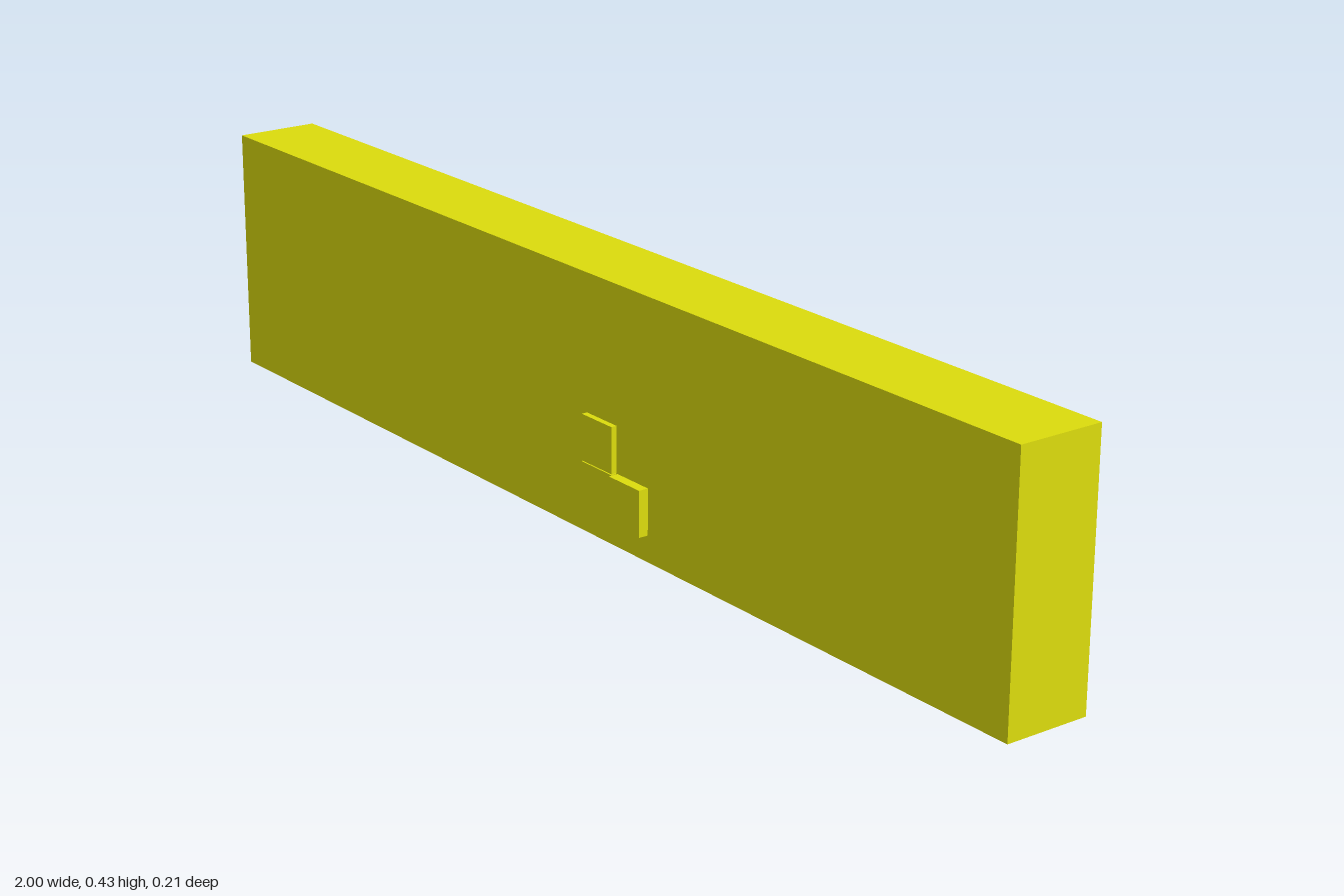
import * as THREE from 'three';

const material = new THREE.MeshStandardMaterial({ color: 0xdddd0d });
const FLOOR = 0.042, SHORT = 0.077, LONG = 0.192;

function add(parent, geometry, name, x = 0, y = 0, z = 0) {
  const mesh = new THREE.Mesh(geometry, material);
  mesh.name = name;
  mesh.position.set(x, y, z);
  parent.add(mesh);
  return mesh;
}

// Axis-aligned block given by its smallest corner and size
function block(parent, name, x, y, z, w, h, d) {
  return add(parent, new THREE.BoxGeometry(w, h, d), name, x + w / 2, y + h / 2, z + d / 2);
}

// Block resting on one lower edge at x, tilted up towards +x
function leaningBlock(parent, name, x, z, degrees) {
  const geometry = new THREE.BoxGeometry(LONG, SHORT, SHORT);
  geometry.translate(LONG / 2, SHORT / 2, SHORT / 2);
  add(parent, geometry, name, x, FLOOR, z).rotation.z = THREE.MathUtils.degToRad(degrees);
}

// Hollow mug with a handle pointing along (dx, dz)
function mug(parent, x, z, dx, dz, bulge) {
  const group = new THREE.Group();
  group.name = 'mug';
  const h = 0.075, r = 0.033, t = 0.004, outer = [], inner = [];
  for (let i = 0; i <= 8; i++) {
    const s = i / 8, radius = r + bulge * (Math.sin(Math.PI * s) - 0.4);
    outer.push(new THREE.Vector2(radius, s * h));
    inner.unshift(new THREE.Vector2(radius - t, Math.max(s * h, t)));
  }
  const parts = [
    ['mugBase', [new THREE.Vector2(0, 0), outer[0]]],
    ['mugWall', outer],
    ['mugRim', [outer[8], inner[0]]],
    ['mugInside', inner],
    ['mugInnerBase', [inner[8], new THREE.Vector2(0, t)]],
  ];
  for (const [name, points] of parts) add(group, new THREE.LatheGeometry(points, 32), name);

  const curve = new THREE.CatmullRomCurve3([
    [0.031, 0.060], [0.048, 0.061], [0.059, 0.050], [0.059, 0.030], [0.048, 0.017], [0.031, 0.018],
  ].map(([a, b]) => new THREE.Vector3(a, b, 0)));
  add(group, new THREE.TubeGeometry(curve, 24, 0.004, 8), 'mugHandle');

  group.position.set(x, FLOOR, z);
  group.rotation.y = Math.atan2(-dz, dx);
  parent.add(group);
}

export function createModel() {
  const model = new THREE.Group();
  model.name = 'shelfNiche';

  // Frame, open to the rear, closed by a front panel
  const outline = new THREE.Shape();
  outline.moveTo(-1, 0).lineTo(1, 0).lineTo(1, 0.426).lineTo(-1, 0.426).closePath();
  const opening = new THREE.Path();
  opening.moveTo(-0.948, FLOOR).lineTo(-0.948, 0.384).lineTo(0.948, 0.384).lineTo(0.948, FLOOR).closePath();
  outline.holes.push(opening);
  add(model, new THREE.ExtrudeGeometry(outline, { depth: 0.124, bevelEnabled: false }), 'frame', 0, 0, -0.058);
  block(model, 'frontPanel', -1, 0, 0.066, 2, 0.426, 0.022);

  // Four stacked blocks, three of them reaching through the panel
  const stack = new THREE.Group();
  stack.name = 'blockStack';
  model.add(stack);
  for (const [x, y, back] of [
    [0.047, 0.044, -0.093], [0.127, 0.044, -0.087],
    [0.047, 0.122, -0.094], [0.127, 0.122, -0.1045],
  ]) block(stack, 'stackedBlock', x, y, back, SHORT, SHORT, LONG);

  // Blocks lying along the shelf
  for (const [x, y, z] of [
    [0.403, FLOOR, -0.057], [-0.162, FLOOR, -0.057], [-0.365, FLOOR, -0.074], [-0.208, 0.12, -0.065],
  ]) block(model, 'lyingBlock', x, y, z, LONG, SHORT, SHORT);

  // Upright and leaning blocks
  block(model, 'uprightBlock', -0.446, FLOOR, -0.064, SHORT, LONG, SHORT);
  leaningBlock(model, 'leaningBlock', 0.27, -0.057, 35);
  leaningBlock(model, 'leaningBlock', -0.538, -0.064, 63);
  leaningBlock(model, 'leaningBlock', -0.725, -0.064, 38);

  // Mugs
  mug(model, 0.893, -0.014, -0.82, 0.57, 0.005);
  mug(model, 0.791, -0.012, -0.62, -0.78, 0);
  mug(model, 0.71, -0.01, -0.98, -0.2, 0.005);

  return model;
}
